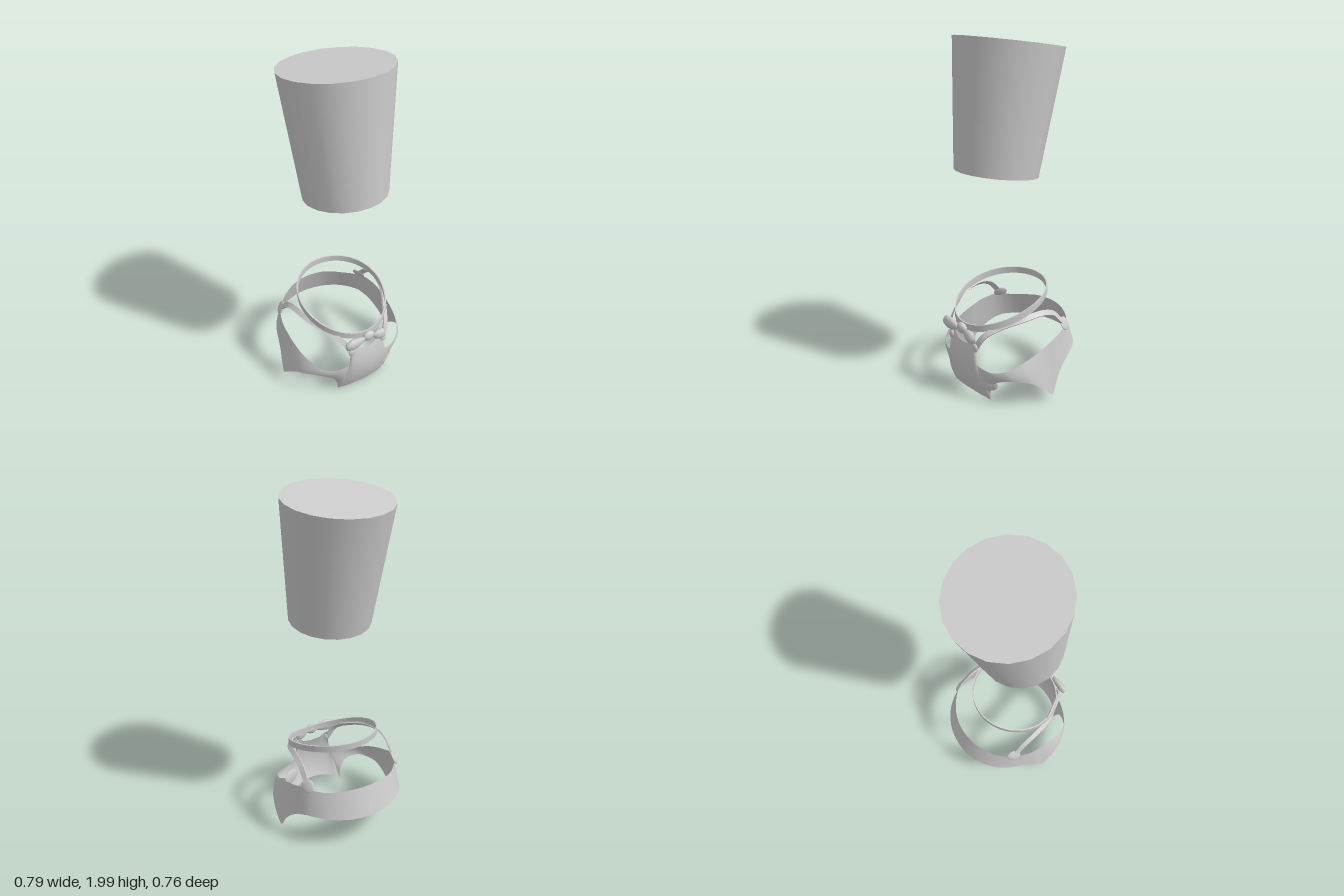
import * as THREE from 'three';

const material = new THREE.MeshStandardMaterial({ color: 0xcccccc, side: THREE.DoubleSide });
const V = (x, y, z) => new THREE.Vector3(x, y, z);

function add(parent, name, geometry, position) {
  const mesh = new THREE.Mesh(geometry, material);
  mesh.name = name;
  if (position) mesh.position.copy(position);
  parent.add(mesh);
  return mesh;
}

// Flat band swept along a curve, its face turned to the outward direction
function ribbon(curve, steps, width, thickness, outward) {
  const geo = new THREE.BoxGeometry(1, 1, 1, steps, 1, 1);
  const pos = geo.attributes.position;
  for (let i = 0; i < pos.count; i++) {
    const t = pos.getX(i) + 0.5;
    const p = curve.getPoint(t), tangent = curve.getTangent(t);
    const side = outward(p).cross(tangent).normalize();
    const out = tangent.clone().cross(side).normalize();
    p.addScaledVector(side, pos.getY(i) * width).addScaledVector(out, pos.getZ(i) * thickness);
    pos.setXYZ(i, p.x, p.y, p.z);
  }
  geo.computeVertexNormals();
  return geo;
}

// Vest edges from centre front to centre back: angle in degrees, height, radius
const hem = [
  [0, .045, .335], [10, .042, .335], [20, .03, .335], [27, .015, .33], [31, .008, .33],
  [32, .06, .34], [35, .12, .36], [42, .155, .38], [52, .17, .395], [68, .15, .402],
  [80, .09, .398], [89, .035, .39], [95, .1, .38], [101, .145, .37], [110, .185, .367],
  [122, .213, .373], [140, .22, .38], [160, .22, .384], [180, .22, .385]];
const neck = [
  [0, .325, .345], [9, .335, .345], [17, .365, .345], [19, .3, .35], [18, .25, .355],
  [21, .225, .36], [27, .21, .367], [36, .205, .378], [48, .225, .387], [60, .262, .375],
  [75, .3, .355], [88, .33, .345], [97, .35, .345], [104, .36, .344], [112, .372, .342],
  [122, .37, .34], [140, .37, .335], [160, .385, .332], [180, .39, .33]];
const edgeCurve = (pts) =>
  new THREE.CatmullRomCurve3(pts.map((p) => V(...p)), false, 'catmullrom', 0.3);

function vestGeometry() {
  const low = edgeCurve(hem), high = edgeCurve(neck);
  const geo = new THREE.PlaneGeometry(1, 1, (hem.length - 1) * 8, 8);
  const { position, uv } = geo.attributes;
  for (let i = 0; i < position.count; i++) {
    const k = uv.getX(i) * 2 - 1, v = uv.getY(i);
    const a = low.getPoint(Math.abs(k)), b = high.getPoint(Math.abs(k));
    const height = b.y - a.y;
    a.lerp(b, v);
    const angle = THREE.MathUtils.degToRad(a.x);
    // chest bulges between hem and neckline
    const r = a.z + 0.4 * v * (1 - v) * height * Math.max(0, Math.cos(angle));
    position.setXYZ(i, Math.sign(k) * r * Math.sin(angle), a.y, r * Math.cos(angle));
  }
  geo.computeVertexNormals();
  return geo;
}

export function createModel() {
  const model = new THREE.Group();

  // Tilted hat with a recessed underside; separate bands keep the rims sharp
  const hat = new THREE.Group();
  hat.name = 'hat';
  hat.position.set(0, 1.267, 0.093);
  hat.rotation.x = -0.133;
  model.add(hat);
  const profile = [[0, .05], [.208, .05], [.21, 0], [.235, 0], [.303, .699], [0, .699]];
  const names = ['hatLining', 'hatInnerWall', 'hatRim', 'hatSide', 'hatTop'];
  names.forEach((name, i) => {
    const pts = [profile[i], profile[i + 1]].map((p) => new THREE.Vector2(...p));
    add(hat, name, new THREE.LatheGeometry(pts, 20));
  });

  // Vest shell with leg arches and a raised bib
  add(model, 'vest', vestGeometry());

  // Shoulder straps with a round front end and a flat back button
  const bodyCentre = V(0, 0.2, 0);
  for (const s of [-1, 1]) {
    const path = new THREE.CatmullRomCurve3([
      V(s * .11, .32, .338), V(s * .15, .4, .308), V(s * .2, .45, .23), V(s * .26, .485, .12),
      V(s * .285, .498, 0), V(s * .29, .475, -.08), V(s * .292, .425, -.13), V(s * .295, .39, -.165)]);
    add(model, 'shoulderStrap', ribbon(path, 40, .032, .01, (p) => p.clone().sub(bodyCentre)));
    const tip = add(model, 'strapTip', new THREE.SphereGeometry(1, 16, 10), V(s * .11, .325, .34));
    tip.scale.set(.022, .024, .01);
    const button = add(model, 'strapButton', new THREE.SphereGeometry(1, 18, 12), V(s * .293, .388, -.167));
    button.scale.set(.042, .04, .01);
    button.lookAt(s * 1.1, .85, -.55);
  }

  // Collar band, higher at the back
  const ring = [];
  for (let i = 0; i < 24; i++) {
    const a = (i / 24) * Math.PI * 2, z = .065 + .267 * Math.cos(a);
    ring.push(V(.262 * Math.sin(a), .551 - .278 * z - .314 * z * z, z));
  }
  const collarPath = new THREE.CatmullRomCurve3(ring, true);
  add(model, 'collar', ribbon(collarPath, 64, .038, .008, (p) => V(p.x, 0, p.z - .065)));

  // Bow tie: knot and two uneven lobes
  const knot = add(model, 'bowKnot', new THREE.SphereGeometry(1, 12, 8), V(0, .41, .347));
  knot.scale.set(.04, .032, .022);
  const lobe = [[0, 0], [.016, .004], [.03, .04], [.037, .09], [.026, .123], [0, .13]]
    .map((p) => new THREE.Vector2(...p));
  for (const [s, length, y, droop] of [[-1, 1, .404, 0], [1, .64, .402, .3]]) {
    const mesh = add(model, 'bowLobe', new THREE.LatheGeometry(lobe, 12), V(s * .032, y, .353));
    mesh.scale.set(1, length, .62);
    mesh.rotation.z = -s * (Math.PI / 2 + droop);
  }

  // Small chest pocket on the left front
  const pocket = add(model, 'pocket', new THREE.SphereGeometry(1, 20, 10), V(.172, .12, .308));
  pocket.scale.set(.068, .045, .01);
  pocket.lookAt(.72, .05, 1.3);

  return model;
}
